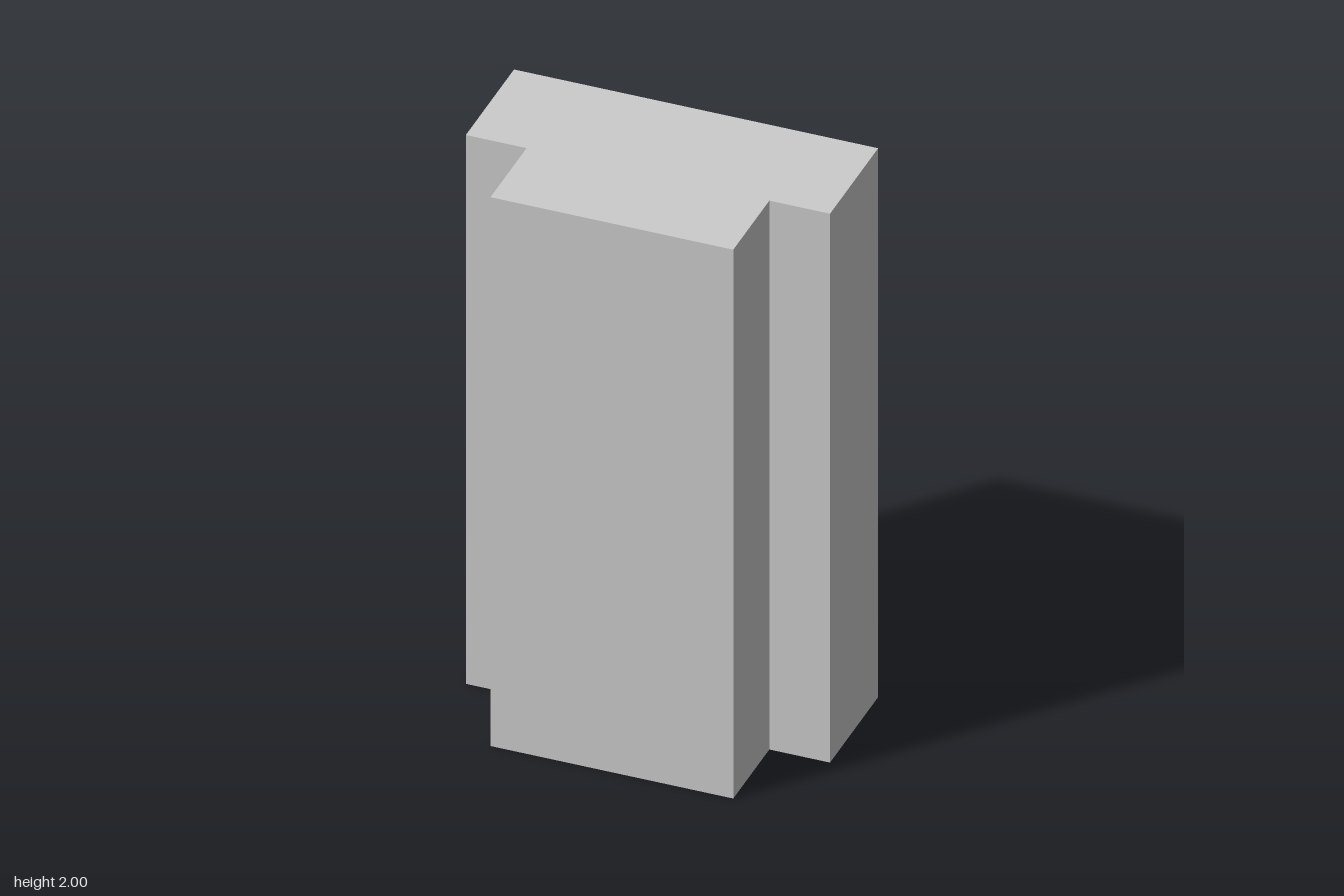
import * as THREE from 'three';

const HEIGHT = 2;
const FRONT = 0.348, BACK = -0.348, STEP = 0.05; // z positions
const HALF_BACK = 0.6, HALF_FRONT = 0.4;         // half widths

export function createModel() {
  const model = new THREE.Group();
  model.name = 'steppedBlock';
  const material = new THREE.MeshStandardMaterial({ color: 0xcccccc });

  // T-shaped footprint, drawn as (x, -z) and extruded upwards
  const outline = [
    [-HALF_FRONT, FRONT], [HALF_FRONT, FRONT], [HALF_FRONT, STEP], [HALF_BACK, STEP],
    [HALF_BACK, BACK], [-HALF_BACK, BACK], [-HALF_BACK, STEP], [-HALF_FRONT, STEP],
  ];
  const footprint = new THREE.Shape(outline.map(([x, z]) => new THREE.Vector2(x, -z)));
  const bodyGeometry = new THREE.ExtrudeGeometry(footprint, { depth: HEIGHT, bevelEnabled: false });
  bodyGeometry.rotateX(-Math.PI / 2);
  const body = new THREE.Mesh(bodyGeometry, material);
  body.name = 'body';
  model.add(body);

  // Thin plate lying practically flush on the front face
  const plate = new THREE.Mesh(new THREE.PlaneGeometry(0.46, 0.3), material);
  plate.name = 'frontPlate';
  plate.position.set(0, 0.7, FRONT + 0.0005);
  model.add(plate);

  return model;
}
